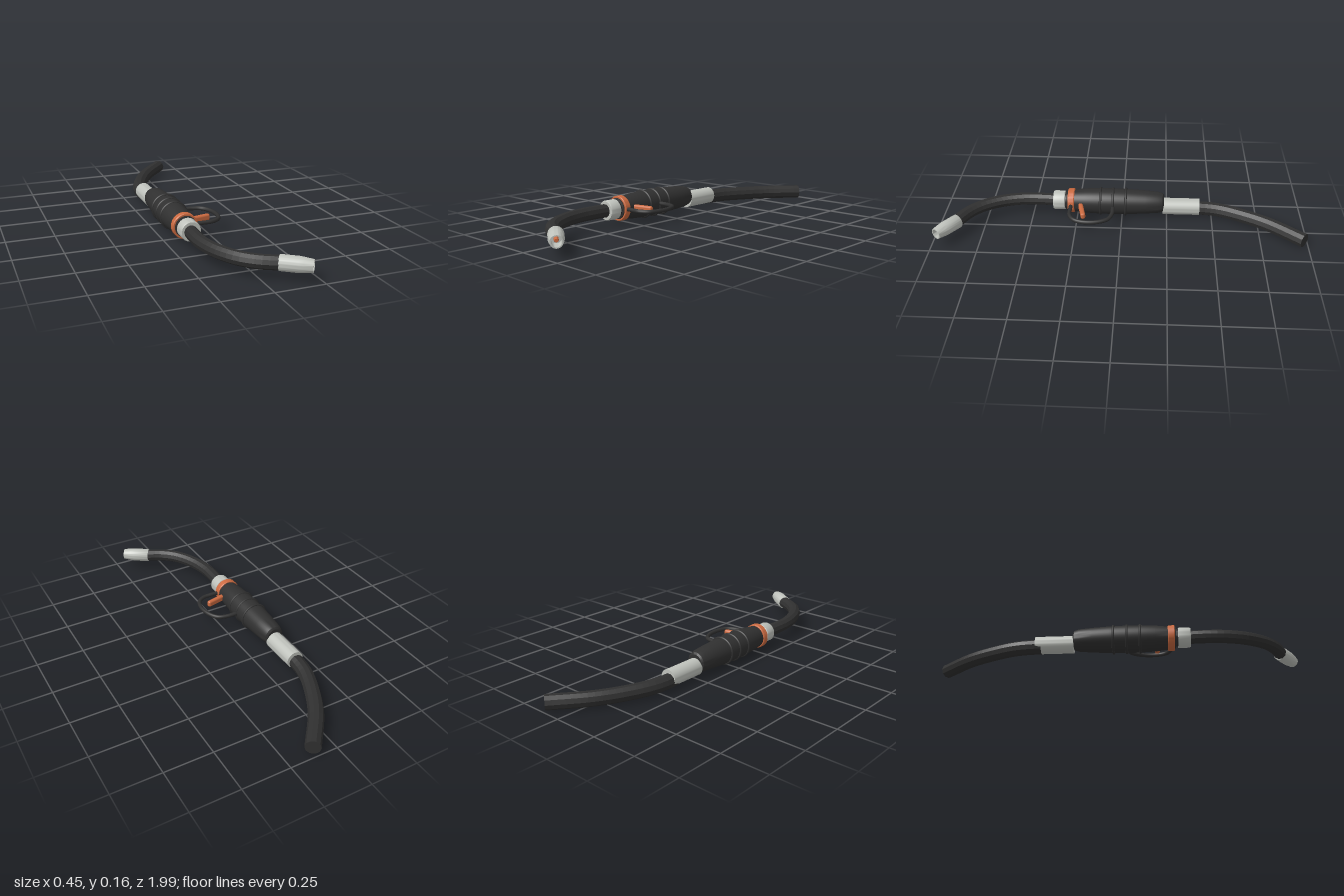
import * as THREE from 'three';
import { toCreasedNormals } from 'three/addons/utils/BufferGeometryUtils.js';
import { RoundedBoxGeometry } from 'three/addons/geometries/RoundedBoxGeometry.js';

const V = (x, y, z) => new THREE.Vector3(x, y, z);
const AXIS_X = -0.148, AXIS_Y = 0.081;

// Turned part along z from [radius, z] pairs
function turned(profile, crease = 0.6) {
  const points = profile.map(([r, z]) => new THREE.Vector2(r, z));
  const geo = new THREE.LatheGeometry(points, 40);
  geo.rotateX(Math.PI / 2);
  return toCreasedNormals(geo, crease);
}

// Faceted, capped hose swept along a nearly level path, with a flat underside
function hose(points, radius, sides = 10, steps = 20) {
  const curve = new THREE.CatmullRomCurve3(points);
  const pos = [], idx = [], up = V(0, 1, 0);
  for (let i = 0; i <= steps; i++) {
    const p = curve.getPointAt(i / steps);
    const t = curve.getTangentAt(i / steps);
    const side = up.clone().cross(t).normalize();
    const top = t.clone().cross(side);
    for (let j = 0; j < sides; j++) {
      const a = ((j + 0.5) / sides) * Math.PI * 2 + Math.PI / 2;
      const q = p.clone().addScaledVector(side, Math.cos(a) * radius).addScaledVector(top, Math.sin(a) * radius);
      pos.push(q.x, q.y, q.z);
    }
  }
  for (let i = 0; i < steps; i++) {
    for (let j = 0; j < sides; j++) {
      const a = i * sides + j, b = i * sides + (j + 1) % sides;
      idx.push(a, b, a + sides, b, b + sides, a + sides);
    }
  }
  const last = steps * sides;
  for (let j = 1; j < sides - 1; j++) {
    idx.push(0, j + 1, j, last, last + j, last + j + 1);
  }
  const geo = new THREE.BufferGeometry();
  geo.setAttribute('position', new THREE.Float32BufferAttribute(pos, 3));
  geo.setIndex(idx);
  const flat = geo.toNonIndexed();
  flat.computeVertexNormals();
  return flat;
}

export function createModel() {
  const model = new THREE.Group();
  model.name = 'weldingTorch';
  const material = (name, color) => {
    const m = new THREE.MeshStandardMaterial({ color });
    m.name = name;
    return m;
  };
  const rubber = material('blackRubber', 0x303030);
  const metal = material('paleMetal', 0xbfc2bc);
  const orange = material('orangePlastic', 0xcb6a40);

  const add = (name, geo, mat, x = 0, y = 0, z = 0) => {
    const mesh = new THREE.Mesh(geo, mat);
    mesh.name = name;
    mesh.position.set(x, y, z);
    model.add(mesh);
    return mesh;
  };
  const onAxis = (name, profile, mat) => add(name, turned(profile), mat, AXIS_X, AXIS_Y);

  // Grip with a narrow neck at the front
  onAxis('handle', [
    [0, -0.232], [0.042, -0.232], [0.052, -0.225], [0.059, -0.2], [0.065, -0.13], [0.07, -0.04],
    [0.072, 0.04], [0.072, 0.12], [0.068, 0.2], [0.06, 0.27], [0.056, 0.305], [0.046, 0.308],
    [0.046, 0.33], [0, 0.33],
  ], rubber);

  // Raised grip rings
  for (const z of [-0.02, 0.05, 0.12]) {
    add('gripRing', new THREE.TorusGeometry(0.0715, 0.007, 8, 40), rubber, AXIS_X, AXIS_Y, z);
  }

  // Orange band and metal collar in front of the grip
  onAxis('orangeBand', [
    [0.05, 0.265], [0.064, 0.265], [0.067, 0.269], [0.067, 0.297], [0.064, 0.301], [0.05, 0.301],
  ], orange);
  onAxis('frontCollar', [
    [0, 0.318], [0.05, 0.318], [0.053, 0.321], [0.053, 0.376], [0.049, 0.383], [0, 0.383],
  ], metal);

  // Rear sleeve
  add('rearSleeve', turned([[0, -0.43], [0.046, -0.43], [0.046, -0.228], [0, -0.228]]), metal, AXIS_X, 0.058);

  // Rear cable and front swan neck
  add('rearCable', hose([
    V(-0.152, 0.047, -0.4), V(-0.153, 0.046, -0.45), V(-0.14, 0.045, -0.54), V(-0.095, 0.043, -0.66),
    V(-0.02, 0.042, -0.8), V(0.119, 0.041, -0.976),
  ], 0.039), rubber);
  add('swanNeck', hose([
    V(-0.149, AXIS_Y, 0.36), V(-0.154, AXIS_Y, 0.45), V(-0.152, AXIS_Y, 0.54), V(-0.125, AXIS_Y, 0.66),
    V(-0.067, AXIS_Y, 0.77), V(0.0, AXIS_Y, 0.835), V(0.1, AXIS_Y, 0.889),
  ], 0.035), rubber);

  // Hollow nozzle with a contact tip inside
  const nozzle = new THREE.Group();
  nozzle.name = 'nozzle';
  nozzle.position.set(0.08, AXIS_Y, 0.876);
  nozzle.rotation.y = Math.atan2(0.81, 0.59);
  model.add(nozzle);
  const shell = add('nozzleShell', turned([
    [0, 0], [0.036, 0], [0.038, 0.004], [0.038, 0.09], [0.036, 0.11], [0.03, 0.153],
    [0.024, 0.153], [0.026, 0.07], [0, 0.07],
  ]), metal);
  const tip = add('contactTip', turned([[0.011, 0.065], [0.011, 0.115], [0.008, 0.128], [0, 0.128]]), orange);
  nozzle.add(shell, tip);

  // Trigger guard loop
  const guard = new THREE.CatmullRomCurve3([
    V(-0.1, 0.083, 0.283), V(-0.04, 0.083, 0.284), V(0.0, 0.083, 0.282), V(0.045, 0.083, 0.255),
    V(0.065, 0.083, 0.2), V(0.06, 0.083, 0.125), V(0.03, 0.083, 0.07), V(-0.02, 0.083, 0.051),
    V(-0.1, 0.083, 0.05),
  ]);
  add('triggerGuard', new THREE.TubeGeometry(guard, 48, 0.011, 10), rubber);

  // Trigger, leaning back
  const trigger = add('trigger', new RoundedBoxGeometry(0.12, 0.036, 0.026, 3, 0.011), orange, -0.042, 0.083, 0.218);
  trigger.rotation.y = 0.22;

  return model;
}
